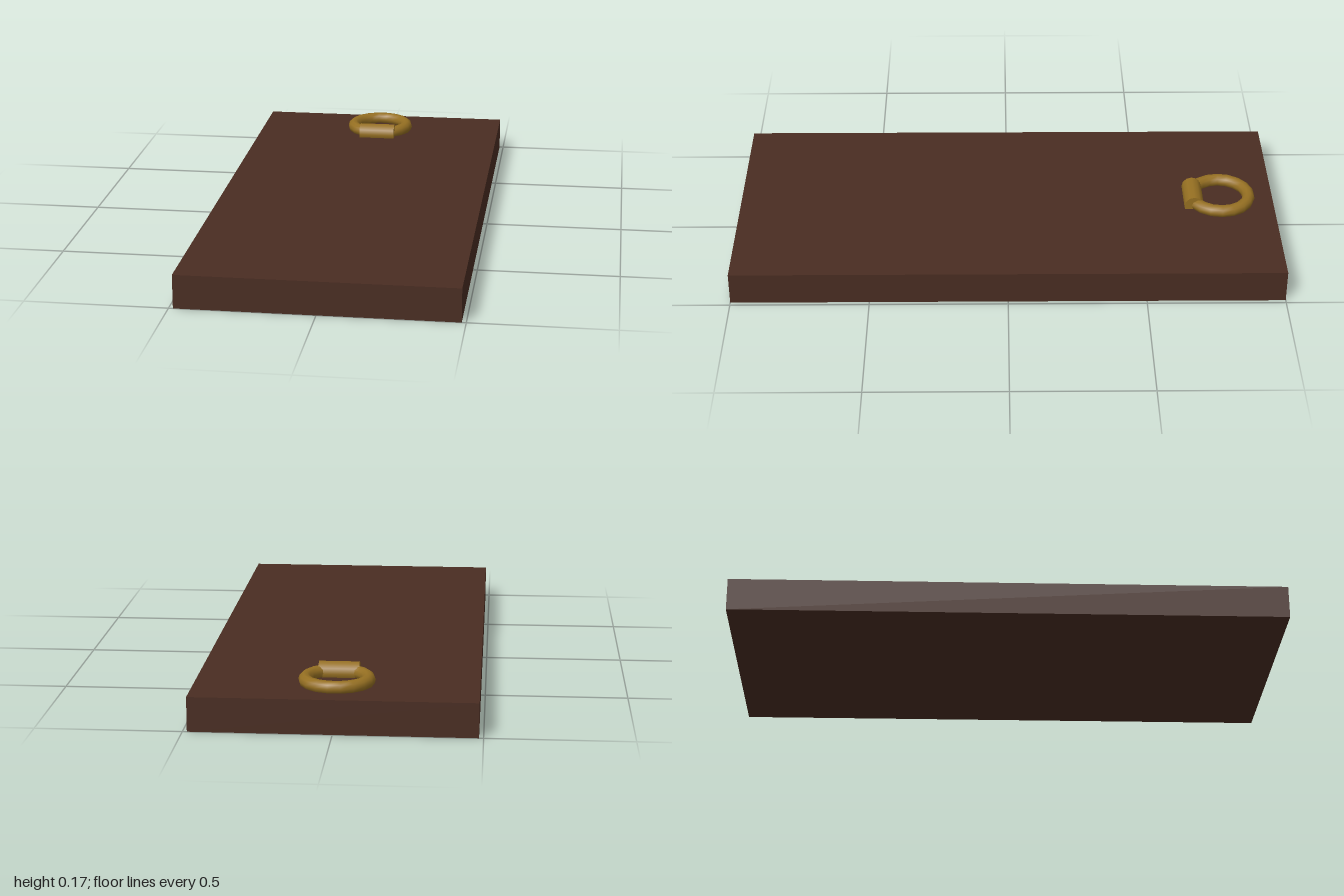
import * as THREE from 'three';

export function createModel() {
  const model = new THREE.Group();
  const wood = new THREE.MeshStandardMaterial({ name: 'dark wood', color: 0x4a2d22 });
  const brass = new THREE.MeshStandardMaterial({ name: 'aged brass', color: 0x967022 });

  const add = (name, geometry, material, x, y, z) => {
    const mesh = new THREE.Mesh(geometry, material);
    mesh.name = name;
    mesh.position.set(x, y, z);
    model.add(mesh);
    return mesh;
  };

  // flat slab of the hatch
  add('slab', new THREE.BoxGeometry(0.97, 0.12, 2), wood, 0, 0.06, 0);

  // pull ring lying flat near the back edge
  const ring = add('pullRing', new THREE.TorusGeometry(0.108, 0.0235, 10, 18), brass, 0, 0.135, -0.8);
  ring.rotation.x = -Math.PI / 2;

  // hinge barrel that holds the ring, half sunk into the slab
  const barrel = add('ringHinge', new THREE.CylinderGeometry(0.037, 0.037, 0.14, 12), brass, 0, 0.133, -0.699);
  barrel.rotation.z = Math.PI / 2;

  return model;
}
